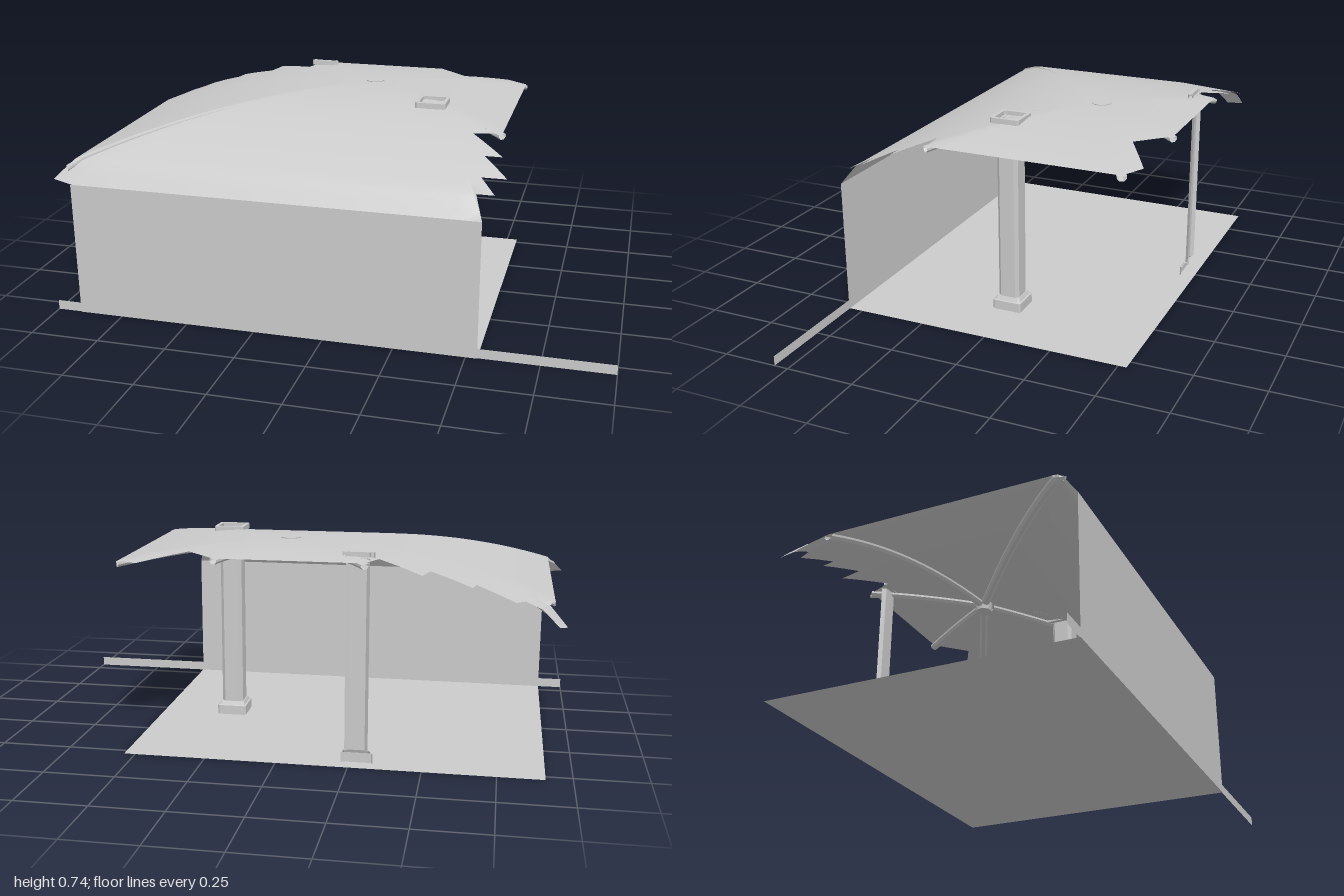
import * as THREE from 'three';

const material = new THREE.MeshStandardMaterial({ color: 0xcccccc, side: THREE.DoubleSide });
const CROWN = 0.733, HUB = { x: 0, z: -0.22 };

// Crease directions from the hub; all six share one drop profile
const creases = [[0.94, 0.72], [-0.92, 0.72], [-0.92, -0.11], [-0.76, -0.84], [0.5, -0.84], [0.94, -0.48]];
const creaseEnds = [0.585, 1.02, 1.0, 0.4, 0.4, 0.585];

const profileY = (t) => CROWN - 0.17 * Math.pow(t, 2.2) - 0.57 * Math.max(0, t - 1);

// Height of the vault: the web lines run straight from crease to crease
function vaultY(x, z) {
  const dx = x - HUB.x, dz = z - HUB.z;
  for (let i = 0; i < creases.length; i++) {
    const [ax, az] = creases[i], [bx, bz] = creases[(i + 1) % creases.length];
    const det = ax * bz - az * bx;
    const a = (dx * bz - dz * bx) / det, b = (ax * dz - az * dx) / det;
    if (a >= -1e-6 && b >= -1e-6) return profileY(Math.max(0, a + b));
  }
  return CROWN;
}

function add(parent, name, geometry, x = 0, y = 0, z = 0) {
  const mesh = new THREE.Mesh(geometry, material);
  mesh.name = name;
  mesh.position.set(x, y, z);
  parent.add(mesh);
  return mesh;
}

// Skin over a list of equally long cross-sections
function loft(rings, closed, flat = true) {
  const n = rings[0].length, index = [];
  for (let i = 0; i + 1 < rings.length; i++) {
    for (let j = 0; j < (closed ? n : n - 1); j++) {
      const k = (j + 1) % n, a = i * n + j, b = i * n + k, c = a + n, d = b + n;
      index.push(a, b, d, a, d, c);
    }
  }
  let g = new THREE.BufferGeometry();
  g.setAttribute('position', new THREE.Float32BufferAttribute(rings.flat(2), 3));
  g.setIndex(index);
  if (flat) g = g.toNonIndexed();
  g.computeVertexNormals();
  return g;
}

// Vault shell with broken edges, scaled out from the hub in rings
function vaultGeometry() {
  const outline = [
    [0.55, 0.2], [0.45, 0.21], [0.57, 0.33], [0.51, 0.33], [0.6, 0.43], [0.51, 0.43], [0.57, 0.5], [0.51, 0.5],
    [0.54, 0.555], [-0.9, 0.555], [-0.98, 0.54], [-0.92, 0.47],
    [-0.92, -0.33], [-0.9, -0.41], [-0.96, -0.44], [-0.93, -0.51], [-0.82, -0.48], [-0.79, -0.535],
    [-0.66, -0.49], [-0.65, -0.54], [-0.51, -0.48], [-0.49, -0.565], [-0.34, -0.46],
    [-0.3, -0.555], [0.2, -0.555], [0.31, -0.45], [0.47, -0.545], [0.55, -0.5],
  ];
  const rim = [];
  outline.forEach(([x, z], i) => {
    const [nx, nz] = outline[(i + 1) % outline.length];
    const steps = Math.max(1, Math.round(Math.hypot(nx - x, nz - z) / 0.06));
    for (let s = 0; s < steps; s++) rim.push([x + (nx - x) * s / steps, z + (nz - z) * s / steps]);
  });
  rim.reverse();
  const rings = [], R = 32;
  for (let r = R; r >= 0; r--) {
    const s = Math.max(r / R, 0.002);
    rings.push(rim.map(([px, pz]) => {
      const x = HUB.x + (px - HUB.x) * s, z = HUB.z + (pz - HUB.z) * s;
      return [x, vaultY(x, z), z];
    }));
  }
  return loft(rings, true, false);
}

// Moulded rib hanging below one crease
function ribGeometry([cx, cz], end) {
  const section = [[-0.016, -0.003], [-0.016, -0.011], [-0.007, -0.02], [0.007, -0.02], [0.016, -0.011], [0.016, -0.003]];
  const len = Math.hypot(cx, cz), rings = [], N = 20;
  for (let i = 0; i <= N; i++) {
    const t = 0.03 + (end - 0.03) * i / N;
    rings.push(section.map(([u, v]) => [
      HUB.x + cx * t - cz / len * u, profileY(t) + v, HUB.z + cz * t + cx / len * u,
    ]));
  }
  return loft(rings, true);
}

// Square pillar with cut corners; the half version keeps only its front
function pillarGeometry(half) {
  const steps = [
    [0, 0.055], [0.035, 0.055], [0.037, 0.05], [0.05, 0.044], [0.05, 0.04],
    [0.715, 0.04], [0.715, 0.055], [0.735, 0.055], [0.735, 0.042], [0.72, 0.042],
  ];
  const rings = steps.map(([y, w]) => {
    const c = w === 0.04 ? 0.012 : 0.006, k = w - c;
    const front = [[w, k], [k, w], [-k, w], [-w, k]];
    const loop = half ? front : [...front, [-w, -k], [-k, -w], [k, -w], [w, -k]];
    return loop.map(([x, z]) => [x, y, z]).reverse();
  });
  return loft(rings, !half);
}

export function createModel() {
  const model = new THREE.Group();
  model.name = 'vaultedRoom';

  // Floor, front wall and skirting strip
  add(model, 'floor', new THREE.PlaneGeometry(1.45, 1.085).rotateX(-Math.PI / 2), -0.185, 0, 0.0125);
  add(model, 'frontWall', new THREE.PlaneGeometry(1.45, 0.49), -0.185, 0.245, 0.555);
  add(model, 'skirting', new THREE.PlaneGeometry(2, 0.035), 0, 0.0175, 0.552);

  // Ceiling
  add(model, 'vault', vaultGeometry());
  const ribs = new THREE.Group();
  ribs.name = 'ribs';
  model.add(ribs);
  creases.forEach((c, i) => add(ribs, 'rib', ribGeometry(c, creaseEnds[i])));
  add(model, 'boss', new THREE.CylinderGeometry(0.035, 0.03, 0.035, 12), HUB.x, 0.718, HUB.z);

  // Pillars
  add(model, 'pillar', pillarGeometry(false), 0.27, 0, 0.016);
  add(model, 'backHalfPillar', pillarGeometry(true), -0.275, 0, -0.529);
  return model;
}
